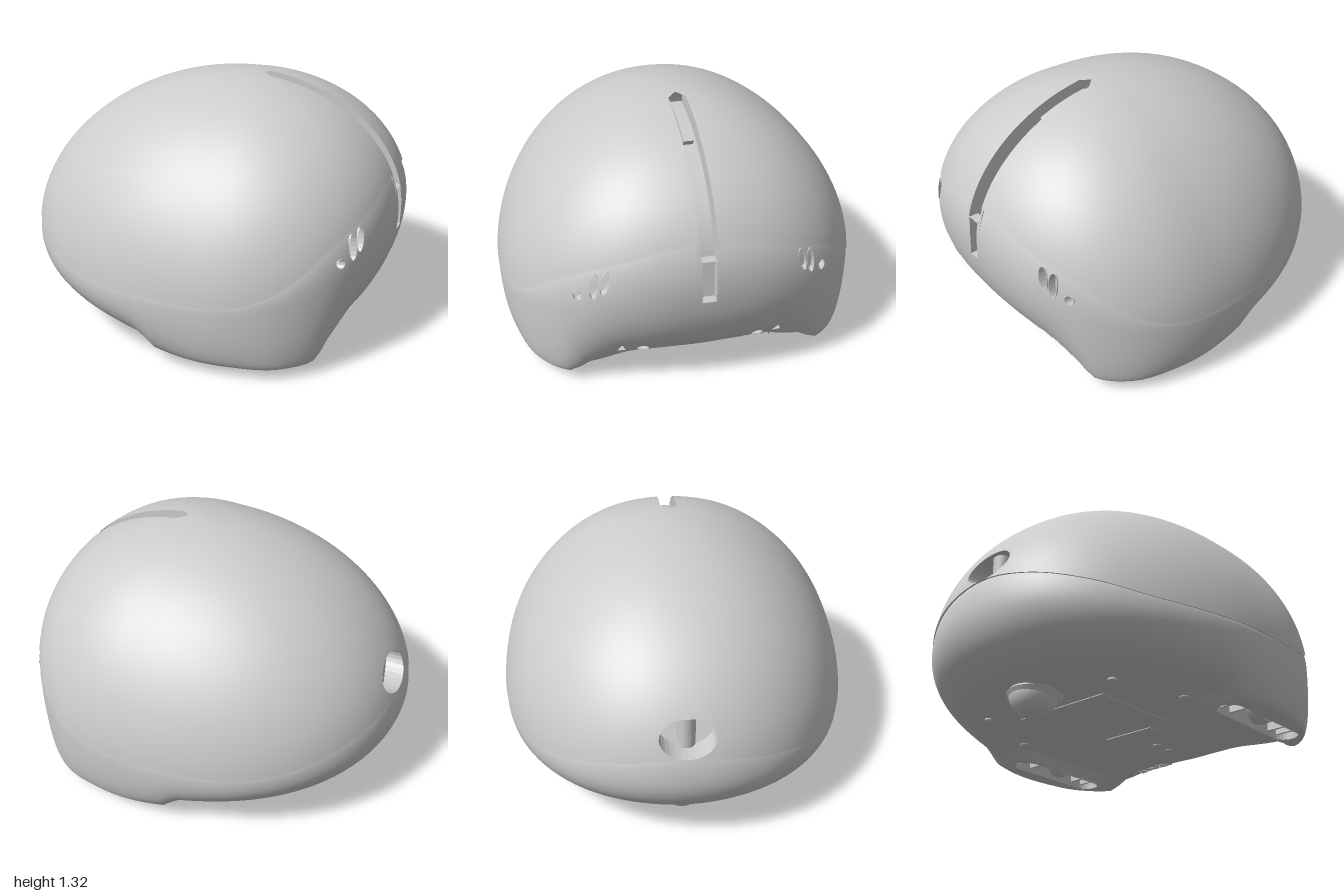
import * as THREE from 'three';

const grey = new THREE.MeshStandardMaterial({ color: 0xcccccc, side: THREE.DoubleSide });
const CX = 0.15, TOP = 1.32, COLS = 120;
const { sin, cos, asin, abs, max, min, PI } = Math;
const smooth = THREE.MathUtils.smoothstep;

// Smooth lookup of values given every 15 degrees from the nose (+x) to the tail, mirrored across z
function table(v) {
  const at = i => v[i < 0 ? -i : i > 12 ? 24 - i : i];
  return th => {
    const u = Math.acos(max(-1, min(1, cos(th)))) / (PI / 12), i = Math.floor(u), t = u - i;
    const [a, b, c, d] = [at(i - 1), at(i), at(i + 1), at(i + 2)];
    return b + 0.5 * t * (c - a + t * (2 * a - 5 * b + 4 * c - d + t * (3 * (b - c) + d - a)));
  };
}
const seamY = table([.86, .84, .77, .67, .51, .415, .4, .4, .4, .42, .49, .56, .6]);
const midY = table([.65, .63, .58, .5, .42, .38, .36, .355, .36, .385, .42, .45, .46]);
const floorR = table([.5, .51, .59, .85, .91, .88, .85, .8, .74, .71, .7, .7, .72]);
const floorY = (x, z) => 0.115 - 0.055 * smooth(abs(z), 0.57, 0.63) * smooth(x, -0.09, -0.02);

// Plan radius at the widest level
function planR(th) {
  const c = cos(th), n = c > 0 ? 2.35 : 2.13, a = c > 0 ? 0.85 : 1.15;
  return (abs(c / a) ** n + abs(sin(th) / 0.94) ** n) ** (-1 / n);
}
const power = th => 1.9 + 0.1 * max(0, cos(th));
const footY = th => floorY(CX + floorR(th) * cos(th), floorR(th) * sin(th));
// Radius of the body at a given direction and height
function radius(th, y) {
  const m = midY(th), a = planR(th), n = power(th);
  if (y >= m) return a * max(0, 1 - ((y - m) / (TOP - m)) ** n) ** (1 / n);
  const t = min(1, (m - y) / (m - footY(th)));
  return floorR(th) + (a - floorR(th)) * Math.sqrt(1 - t * t);
}
const polar = (th, r, y) => [CX + r * cos(th), y, r * sin(th)];
// x of the body at (y, z) on its nose (side 1) or tail (side -1)
function surfaceX(y, z, side) {
  let th = side > 0 ? 0 : PI;
  for (let i = 0; i < 14; i++) {
    const s = asin(max(-1, min(1, z / radius(th, y))));
    th = side > 0 ? s : PI - s;
  }
  return CX + radius(th, y) * cos(th);
}

// Convex prism as planes [nx, ny, nz, d]; its polygon lies on axes u and v
function prism(pts, u, v, limits) {
  const c = [0, 1].map(k => pts.reduce((s, p) => s + p[k], 0) / pts.length);
  const planes = pts.map((p, i) => {
    const q = pts[(i + 1) % pts.length];
    let a = q[1] - p[1], b = p[0] - q[0], d = a * p[0] + b * p[1];
    if (a * c[0] + b * c[1] > d) { a = -a; b = -b; d = -d; }
    const n = [0, 0, 0, d];
    n[u] = a; n[v] = b;
    return n;
  });
  return planes.concat(limits);
}
// Removes a prism from a list of convex polygons
function subtract(polys, planes) {
  const dist = (p, n) => p[0] * n[0] + p[1] * n[1] + p[2] * n[2] - n[3];
  const clip = (poly, n, s) => poly.flatMap((p, i) => {
    const q = poly[(i + 1) % poly.length], a = dist(p, n) * s, b = dist(q, n) * s;
    const out = a >= 0 ? [p] : [];
    if (a * b < 0) out.push(p.map((e, k) => e + (q[k] - e) * a / (a - b)));
    return out;
  });
  return polys.flatMap(poly => {
    if (planes.some(n => poly.every(p => dist(p, n) >= 0))) return [poly];
    const kept = [];
    let rest = poly;
    for (const n of planes) {
      const o = clip(rest, n, 1);
      if (o.length > 2) kept.push(o);
      rest = clip(rest, n, -1);
      if (rest.length < 3) break;
    }
    return kept;
  });
}
function geometry(points, index) {
  const g = new THREE.BufferGeometry();
  g.setAttribute('position', new THREE.Float32BufferAttribute(points.flat(), 3));
  g.setIndex(index);
  g.computeVertexNormals();
  return g;
}
// Closed rings lofted in order, then cut by prisms, keeping smooth normals
function shell(rows, cuts) {
  const index = [];
  for (let i = 0; i < rows.length - 1; i++) for (let j = 0; j < COLS; j++) {
    const a = i * COLS + j, b = i * COLS + (j + 1) % COLS;
    index.push(a, a + COLS, b, b, a + COLS, b + COLS);
  }
  const pts = rows.flat(), nor = geometry(pts, index).attributes.normal;
  let polys = [];
  for (let i = 0; i < index.length; i += 3)
    polys.push([0, 1, 2].map(k => index[i + k]).map(v => [...pts[v], nor.getX(v), nor.getY(v), nor.getZ(v)]));
  for (const c of cuts) polys = subtract(polys, c);
  const tri = polys.flatMap(p => p.slice(2).flatMap((_, i) => [p[0], p[i + 1], p[i + 2]]));
  const g = new THREE.BufferGeometry();
  g.setAttribute('position', new THREE.Float32BufferAttribute(tri.flatMap(p => p.slice(0, 3)), 3));
  g.setAttribute('normal', new THREE.Float32BufferAttribute(tri.flatMap(p => p.slice(3)), 3));
  return g;
}
const ellipse = (cu, cv, ru, rv, n = 20, tilt = 0) => Array.from({ length: n }, (_, i) => {
  const t = i / n * 2 * PI, u = ru * cos(t), v = rv * sin(t);
  return [cu + u * cos(tilt) - v * sin(tilt), cv + u * sin(tilt) + v * cos(tilt)];
});
const shapeOf = pts => new THREE.Shape(pts.map(p => new THREE.Vector2(...p)));
const extrude = (shape, depth) => new THREE.ExtrudeGeometry(shape, { depth, bevelEnabled: false });

export function createModel() {
  const group = new THREE.Group(), cuts = [];
  const add = (name, geo, x = 0, y = 0, z = 0) => {
    const m = new THREE.Mesh(geo, grey);
    m.name = name;
    m.position.set(x, y, z);
    group.add(m);
    return m;
  };
  // Recess with a (z, y) outline, sunk along x from the body surface
  const pocket = (name, pts, side, depth) => {
    cuts.push(prism(pts, 2, 1, [[-side, 0, 0, 0]]));
    const n = pts.length, rim = pts.map(([z, y]) => [surfaceX(y, z, side), y, z]);
    const all = rim.concat(rim.map(([x, y, z]) => [x - side * depth, y, z])), idx = [];
    for (let i = 0; i < n; i++) {
      const j = (i + 1) % n;
      idx.push(i, j, n + i, j, n + j, n + i);
      if (i > 1) idx.push(n, n + i - 1, n + i);
    }
    add(name, geometry(all, idx).toNonIndexed()).geometry.computeVertexNormals();
  };

  // Eye slots, eye dots and floor sensors on both sides of the nose
  for (const s of [1, -1]) {
    pocket('eyeSlot', ellipse(s * 0.535, 0.65, 0.02, 0.065, 16, s * 0.12), 1, 0.04);
    pocket('eyeSlot', ellipse(s * 0.485, 0.675, 0.02, 0.06, 16, s * 0.25), 1, 0.04);
    pocket('eyeDot', ellipse(s * 0.61, 0.59, 0.02, 0.024, 12), 1, 0.04);
    pocket('floorSensor', ellipse(s * 0.295, 0.22, 0.03, 0.026, 12), 1, 0.03);
    pocket('cliffSensor', [[s * 0.38, 0.215], [s * 0.42, 0.215], [s * 0.41, 0.25], [s * 0.4, 0.265]], 1, 0.03);
  }
  pocket('noseSlot', [[-0.035, 0.56], [0.035, 0.56], [0.035, 0.78], [-0.035, 0.78]], 1, 0.05);
  // Tail socket with its upright post
  pocket('tailSocket', ellipse(0, 0.69, 0.14, 0.092, 28), -1, 0.12);
  add('tailPost', new THREE.CylinderGeometry(0.045, 0.045, 0.17, 20), -0.85, 0.685, 0);

  // Groove over the crown: two walls, a floor and an inner rail
  cuts.push(prism([[1.2, -0.045], [1.2, 0.045], [0.29, 0.045], [0.24, 0], [0.29, -0.045]], 0, 2, [[0, -1, 0, -0.78]]));
  const arc = (k, a, b) => Array.from({ length: 25 }, (_, i) => {
    const t = a + (b - a) * i / 24;
    return [CX + 0.85 * k * cos(t), 0.65 + 0.67 * k * sin(t)];
  });
  const band = (outer, inner, a, b) => shapeOf([...arc(outer, a, b), ...arc(inner, b, a)]);
  for (const z of [0.045, -0.06]) add('grooveWall', extrude(band(0.995, 0.84, 0.15, 1.5), 0.015), 0, 0, z);
  add('grooveFloor', extrude(band(0.88, 0.84, 0.1, 1.52), 0.1), 0, 0, -0.05);
  add('grooveRail', extrude(band(0.93, 0.86, 1.05, 1.42), 0.05), 0, 0, -0.025);

  // Wheel wells under the two legs
  const stadium = (w, s) => Array.from({ length: 24 }, (_, i) => {
    const t = (i + 0.5) / 24 * 2 * PI;
    return [0.31 + (cos(t) > 0 ? 0.25 : -0.25) + w * cos(t), s * 0.7 + w * sin(t)];
  });
  for (const s of [1, -1]) {
    cuts.push(prism(stadium(0.07, s), 0, 2, [[0, 1, 0, 0.18]]));
    const ring = shapeOf(stadium(0.076, s));
    ring.holes.push(shapeOf(stadium(0.068, s)));
    add('wellWall', extrude(ring, 0.118).rotateX(PI / 2), 0, 0.18, 0);
    add('wellRoof', extrude(shapeOf(stadium(0.074, s)), 0.01).rotateX(PI / 2), 0, 0.18, 0);
    add('wheel', new THREE.CylinderGeometry(0.1, 0.1, 0.07, 28).rotateX(PI / 2), 0.34, 0.17, s * 0.7);
    for (const x of [0.06, 0.15, 0.5, 0.58])
      add('wellRib', new THREE.BoxGeometry(0.015, 0.09, 0.12), x, 0.13, s * 0.7);
  }

  // Domed upper shell, from its seam edge to the crown
  const ring = f => Array.from({ length: COLS }, (_, j) => f(j / COLS * 2 * PI));
  const seamAngle = th => asin(((seamY(th) - midY(th)) / (TOP - midY(th))) ** (power(th) / 2));
  const dome = (th, ph, inset = 0) => {
    const e = 2 / power(th), m = midY(th);
    return polar(th, planR(th) * max(0, cos(ph)) ** e - inset, m + (TOP - m) * max(0, sin(ph)) ** e);
  };
  const upper = [];
  for (let i = 0; i <= 36; i++) upper.push(ring(th => dome(th, THREE.MathUtils.lerp(seamAngle(th), PI / 2, i / 36))));
  add('upperShell', shell(upper, cuts));
  add('seamLip', shell([ring(th => dome(th, seamAngle(th), 0.03)), upper[0]], cuts));

  // Lower shell: underside outwards, round the bilge and up behind the seam
  const lower = [];
  for (let i = 0; i <= 36; i++) lower.push(ring(th => {
    const [x, , z] = polar(th, floorR(th) * i / 36, 0);
    return [x, floorY(x, z), z];
  }));
  for (let i = 23; i >= 0; i--) lower.push(ring(th => {
    const p = i / 24 * PI / 2, f = floorR(th), m = midY(th);
    return polar(th, f + (planR(th) - f) * cos(p) - 0.004, m - (m - footY(th)) * sin(p));
  }));
  for (let i = 1; i <= 8; i++) lower.push(ring(th => dome(th, (seamAngle(th) + 0.02) * i / 8, 0.004 + 0.008 * (i / 8) ** 4)));
  add('lowerShell', shell(lower, cuts));

  // Caster ball with its collar
  add('casterBall', new THREE.SphereGeometry(0.125, 32, 20), -0.6, 0.125, 0);
  add('casterCollar', new THREE.CylinderGeometry(0.145, 0.12, 0.04, 32), -0.59, 0.105, 0);
  // Battery hatch, switches and speaker grille on the underside
  add('batteryHatch', new THREE.BoxGeometry(0.5, 0.02, 0.56), -0.16, 0.121, 0);
  add('switchPlate', new THREE.BoxGeometry(0.07, 0.02, 0.3), 0.15, 0.121, 0);
  for (const [x, z] of [[0.15, -0.1], [0.15, 0.1], [0.37, 0], [0.48, 0]])
    add('switchKnob', new THREE.CylinderGeometry(0.022, 0.022, 0.02, 12), x, 0.121, z);
  for (let i = 0; i < 5; i++) for (let j = 0; j < 6; j++) {
    const y = 0.116 + 0.0016 * i * i, z = -0.2 - j * 0.036;
    add('speakerBar', new THREE.BoxGeometry(0.022, 0.012, 0.012).rotateY((i + j) % 2 ? 0.6 : -0.6),
      surfaceX(y, z, 1) - 0.004, y, z);
  }
  for (const s of [1, -1]) {
    add('undersideSensor', new THREE.SphereGeometry(0.028, 16, 10).scale(1, 0.5, 1), -0.11, 0.115, s * 0.55);
    add('undersideSensor', new THREE.SphereGeometry(0.025, 16, 10).scale(1, 0.5, 1), -0.5, 0.118, s * 0.42);
  }
  return group;
}
